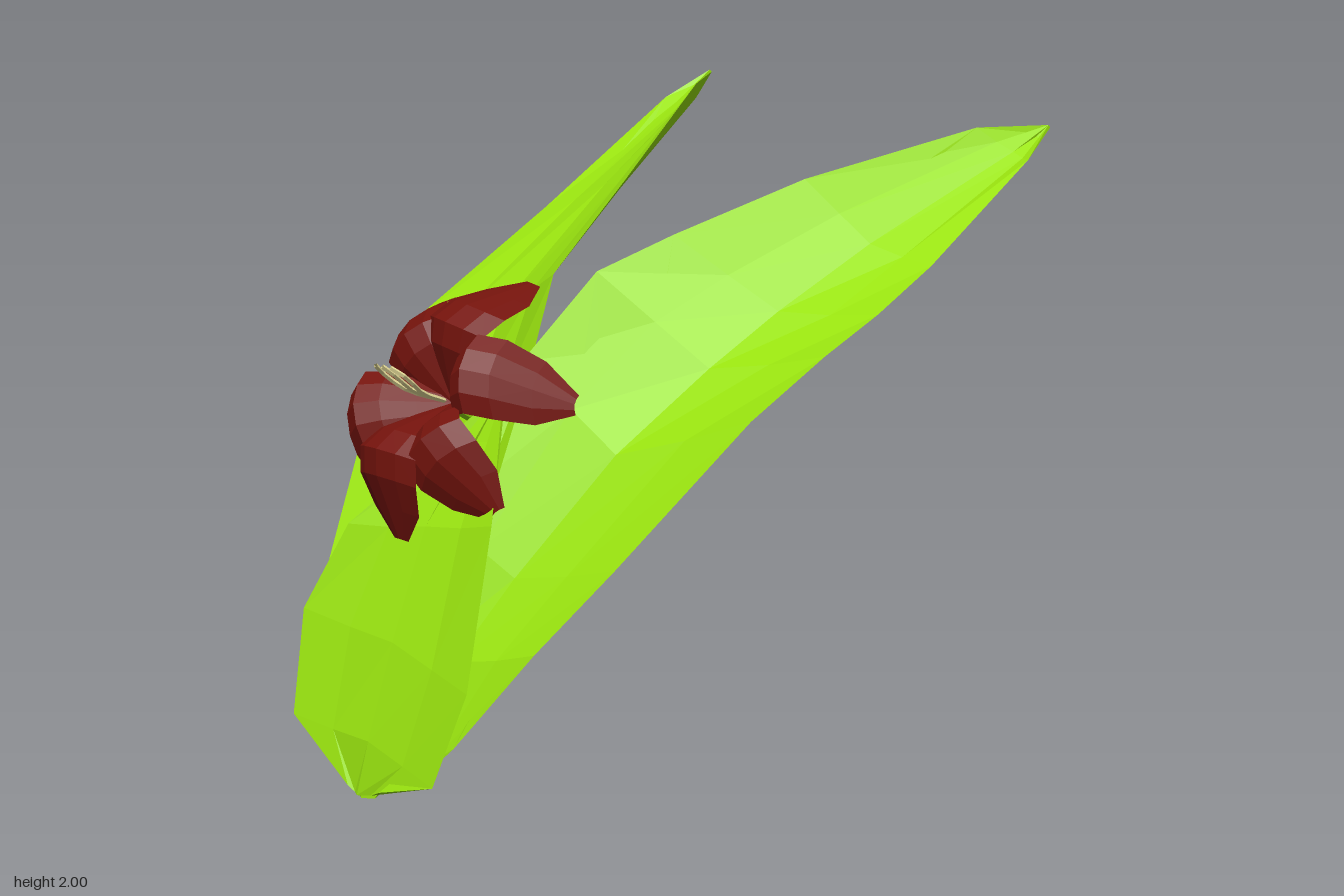
import * as THREE from 'three';

const V = (p) => new THREE.Vector3(...p);
const paint = (color) => new THREE.MeshStandardMaterial({ color, flatShading: true, side: THREE.DoubleSide });
const green = paint(0x99e30f), red = paint(0x74130c), cream = paint(0xf0e6a0);

// Flat-shaded skin over rows of equally many Vector3 points
function skin(name, rows, material) {
  const n = rows[0].length, index = [];
  for (let i = 0; i < rows.length - 1; i++) {
    for (let j = 0; j < n - 1; j++) {
      const a = i * n + j, b = a + n;
      index.push(a, a + 1, b + 1, a, b + 1, b);
    }
  }
  const g = new THREE.BufferGeometry().setFromPoints(rows.flat());
  g.setIndex(index);
  g.computeVertexNormals();
  const mesh = new THREE.Mesh(g, material);
  mesh.name = name;
  return mesh;
}

// Fleshy leaf from [left edge, midrib, right edge] stations: a grooved upper
// face of five columns, closed by an underside set back by the given depth
function leaf(name, stations, depth) {
  const back = new THREE.Vector3(0, -0.6, -0.8);
  const rows = stations.map((s, i) => {
    const [a, m, b] = s.map(V);
    const top = [
      a, a.clone().lerp(m, 0.5).addScaledVector(back, 0.012), m,
      b.clone().lerp(m, 0.5).addScaledVector(back, 0.012), b,
    ];
    const d = i === stations.length - 1 ? 0 : depth;
    const under = [3, 2, 1].map((k) => top[k].clone().addScaledVector(back, d));
    return [...top, ...under, a];
  });
  return skin(name, rows, green);
}

function tube(name, points, radius, material, segments = 10, sides = 6) {
  const path = new THREE.CatmullRomCurve3(points.map(V));
  const mesh = new THREE.Mesh(new THREE.TubeGeometry(path, segments, radius, sides), material);
  mesh.name = name;
  return mesh;
}

// Petal swept along an arching spine, edges folded back from the flower's axis
const axis = new THREE.Vector3(0, 0.4, 0.92).normalize();
const petalBase = [-0.17, 1.1, 0.6];
function petal(mid, tip, width) {
  const spine = new THREE.CatmullRomCurve3([petalBase, mid, tip].map(V));
  const side = V(tip).sub(V(petalBase)).cross(axis).normalize();
  const profile = [0.3, 0.65, 0.9, 1, 1, 0.8, 0.25];
  const rows = profile.map((w, i) => {
    const c = spine.getPoint(i / (profile.length - 1));
    return [-1, -0.55, 0, 0.55, 1].map((u) => c.clone()
      .addScaledVector(side, -u * w * width)
      .addScaledVector(axis, -0.045 * w * u * u));
  });
  return skin('petal', rows, red);
}

export function createModel() {
  const model = new THREE.Group();
  model.name = 'flowerPlant';

  // Two tall arching leaves
  const tipR = [-0.65, 2, -0.96], tipL = [0.75, 1.865, -0.95];
  model.add(leaf('rightLeaf', [
    [[-0.43, 0.17, 0.89], [-0.2, 0.05, 0.93], [-0.03, 0.12, 0.9]],
    [[-0.53, 0.37, 0.82], [-0.22, 0.39, 0.79], [0.09, 0.43, 0.83]],
    [[-0.6, 0.6, 0.72], [-0.26, 0.66, 0.65], [0.06, 0.77, 0.7]],
    [[-0.7, 0.93, 0.51], [-0.34, 0.99, 0.44], [0.02, 1.14, 0.5]],
    [[-0.79, 1.25, 0.22], [-0.45, 1.33, 0.14], [-0.09, 1.45, 0.28]],
    [[-0.78, 1.57, -0.33], [-0.55, 1.65, -0.37], [-0.28, 1.69, -0.2]],
    [[-0.72, 1.91, -0.82], [-0.63, 1.9, -0.82], [-0.54, 1.96, -0.78]],
    [tipR, tipR, tipR],
  ], 0.02));
  model.add(leaf('leftLeaf', [
    [[-0.2, 0.15, 0.9], [-0.05, 0.1, 0.9], [0.13, 0.2, 0.87]],
    [[-0.16, 0.48, 0.82], [0.03, 0.41, 0.78], [0.33, 0.48, 0.75]],
    [[-0.11, 0.8, 0.71], [0.12, 0.64, 0.63], [0.47, 0.71, 0.58]],
    [[-0.03, 1.22, 0.46], [0.28, 0.98, 0.39], [0.69, 1.11, 0.28]],
    [[0.08, 1.47, 0.27], [0.4, 1.21, 0.14], [0.75, 1.27, 0.05]],
    [[0.2, 1.57, 0.08], [0.47, 1.36, -0.07], [0.77, 1.37, -0.15]],
    [[0.38, 1.72, -0.28], [0.57, 1.54, -0.35], [0.78, 1.49, -0.37]],
    [[0.63, 1.86, -0.76], [0.72, 1.79, -0.82], [0.79, 1.77, -0.8]],
    [tipL, tipL, tipL],
  ], 0.02));

  // Short cupped leaf in front of the base
  const tipF = [-0.02, 1.15, 0.54];
  model.add(leaf('frontLeaf', [
    [[-0.24, 0.03, 0.95], [-0.2, 0.01, 0.95], [-0.1, 0.04, 0.95]],
    [[-0.46, 0.2, 0.97], [-0.17, 0.17, 0.93], [0.12, 0.1, 0.94]],
    [[-0.48, 0.5, 0.91], [-0.14, 0.45, 0.86], [0.2, 0.37, 0.88]],
    [[-0.38, 0.75, 0.82], [-0.12, 0.77, 0.75], [0.15, 0.81, 0.74]],
    [tipF, tipF, tipF],
  ], 0.02));

  // Stem bowing out behind the leaves
  model.add(tube('stem', [
    [0.0, 0.12, 0.85], [-0.02, 0.3, 0.77], [-0.05, 0.47, 0.6], [-0.08, 0.65, 0.4],
    [-0.1, 0.8, 0.31], [-0.12, 0.91, 0.32], [-0.15, 0.98, 0.4], petalBase,
  ], 0.024, green, 18));

  // Six petals: [middle, tip, half width]
  const flower = new THREE.Group();
  flower.name = 'flower';
  [
    [[-0.185, 1.0, 0.87], [-0.19, 0.73, 0.79], 0.125],
    [[-0.04, 1.04, 0.83], [0.13, 0.84, 0.71], 0.115],
    [[0.01, 1.23, 0.73], [0.23, 1.13, 0.5], 0.115],
    [[-0.14, 1.34, 0.65], [-0.1, 1.43, 0.36], 0.125],
    [[-0.31, 1.29, 0.66], [-0.46, 1.34, 0.39], 0.115],
    [[-0.36, 1.1, 0.81], [-0.55, 0.94, 0.64], 0.115],
  ].forEach((p) => flower.add(petal(...p)));

  // Stamens
  for (const [x, bend] of [[-0.205, -0.012], [-0.175, 0.008], [-0.14, 0.02]]) {
    flower.add(tube('stamen', [
      [-0.17, 1.11, 0.63], [x, 1.15, 0.74], [x + bend, 1.2, 0.81], [x, 1.23, 0.85],
    ], 0.007, cream, 6, 4));
  }
  model.add(flower);
  return model;
}
